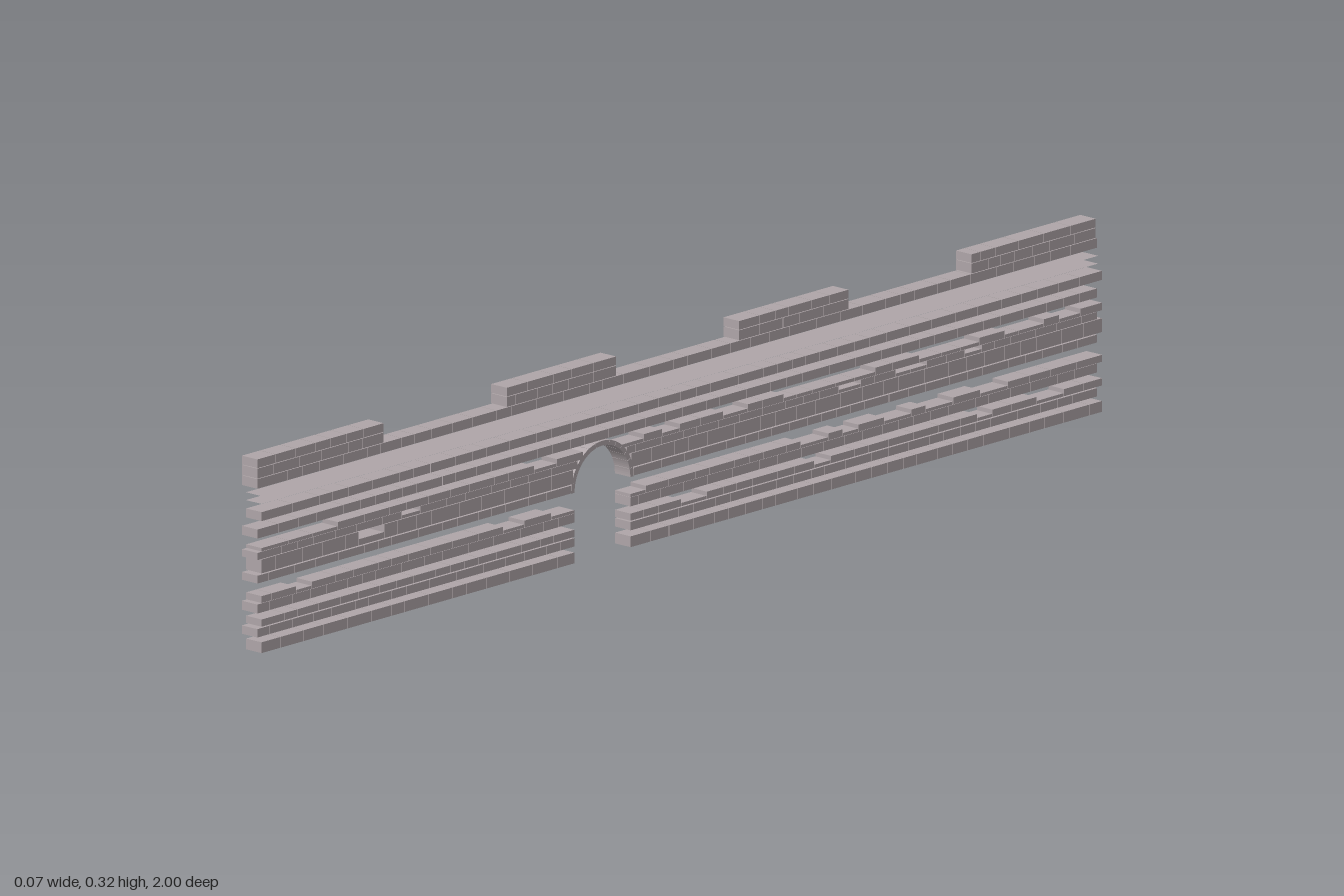
import * as THREE from 'three';
import { mergeGeometries } from 'three/addons/utils/BufferGeometryUtils.js';

const DEPTH = 0.034;
const ARCH = { z: 0.183, y: 0.117, inner: 0.066, outer: 0.074 };
const MERLONS = [[-0.985, -0.69], [-0.4, -0.14], [0.15, 0.41], [0.7, 1]];

// Small seeded generator for the irregular brick lengths
function seeded(seed) {
  let s = seed;
  return () => (s = (s * 16807) % 2147483647) / 2147483647;
}

export function createModel() {
  const wall = new THREE.Group();
  wall.name = 'brickWall';
  const stone = new THREE.MeshStandardMaterial({ color: 0xaea5a8, flatShading: true });
  const sheet = new THREE.MeshStandardMaterial({ color: 0xaea5a8, side: THREE.DoubleSide });
  const random = seeded(4211);

  const add = (name, geometries, material = stone) => {
    const mesh = new THREE.Mesh(mergeGeometries(geometries), material);
    mesh.name = name;
    wall.add(mesh);
  };

  // Bricks of uneven length from z0 to z1; "loose" courses have lower bricks here and there
  function bricks(y0, y1, z0, z1, loose = 0) {
    const list = [];
    let z = z0;
    while (z < z1 - 0.001) {
      let end = z + 0.03 + random() * 0.035;
      if (end > z1 - 0.02) end = z1;
      const height = (y1 - y0) * (random() < loose ? 0.45 : 1);
      const brick = new THREE.BoxGeometry(DEPTH, height, end - z - 0.0012);
      brick.translate(0, y0 + height / 2, (z + end) / 2);
      list.push(brick);
      z = end;
    }
    return list;
  }

  // Half width of the gateway at a given height
  function halfOpening(y) {
    if (y <= ARCH.y) return ARCH.inner;
    const h = y - ARCH.y;
    return h < ARCH.outer ? Math.sqrt(ARCH.outer ** 2 - h * h) : 0;
  }

  // Long courses: bottom, top, looseness
  const courses = [
    [0, 0.018, 0], [0.028, 0.042, 0], [0.044, 0.056, 0.1],
    [0.068, 0.083, 0], [0.0835, 0.095, 0.3], [0.118, 0.131, 0],
    [0.133, 0.156, 0.05], [0.157, 0.169, 0.1], [0.1695, 0.182, 0.45],
    [0.193, 0.208, 0], [0.22, 0.235, 0], [0.276, 0.292, 0],
  ];
  courses.forEach(([y0, y1, loose], i) => {
    const front = i % 2 ? 1 : 0.99;
    const back = i % 2 ? -0.988 : -1;
    const half = halfOpening((y0 + y1) / 2);
    const list = half > 0
      ? [...bricks(y0, y1, back, ARCH.z - half, loose), ...bricks(y0, y1, ARCH.z + half, front, loose)]
      : bricks(y0, y1, back, front, loose);
    add(`course${i + 1}`, list);
  });

  // Thin bedding layers in the wide joint below the parapet
  add('beddingLayers', [0.249, 0.262].map((y) =>
    new THREE.PlaneGeometry(DEPTH, 1.98).rotateX(-Math.PI / 2).translate(0, y, 0)), sheet);

  // Merlons, two courses each
  MERLONS.forEach(([z0, z1], i) => {
    add(`merlon${i + 1}`, [...bricks(0.293, 0.3095, z0, z1), ...bricks(0.3105, 0.325, z0, z1)]);
  });

  // Wedge stones around the gateway arch
  const count = 14;
  const wedges = [];
  for (let i = 0; i < count; i++) {
    const a0 = (i / count) * Math.PI;
    const a1 = ((i + 0.97) / count) * Math.PI;
    const shape = new THREE.Shape();
    shape.absarc(0, 0, ARCH.outer, a0, a1, false);
    shape.absarc(0, 0, ARCH.inner, a1, a0, true);
    wedges.push(new THREE.ExtrudeGeometry(shape, { depth: DEPTH, bevelEnabled: false, curveSegments: 2 })
      .translate(0, 0, -DEPTH / 2).rotateY(Math.PI / 2).translate(0, ARCH.y, ARCH.z));
  }
  add('archStones', wedges);

  // The wall runs very slightly askew
  wall.rotation.y = -0.017;
  const model = new THREE.Group();
  model.name = 'battlementWall';
  model.add(wall);
  return model;
}
